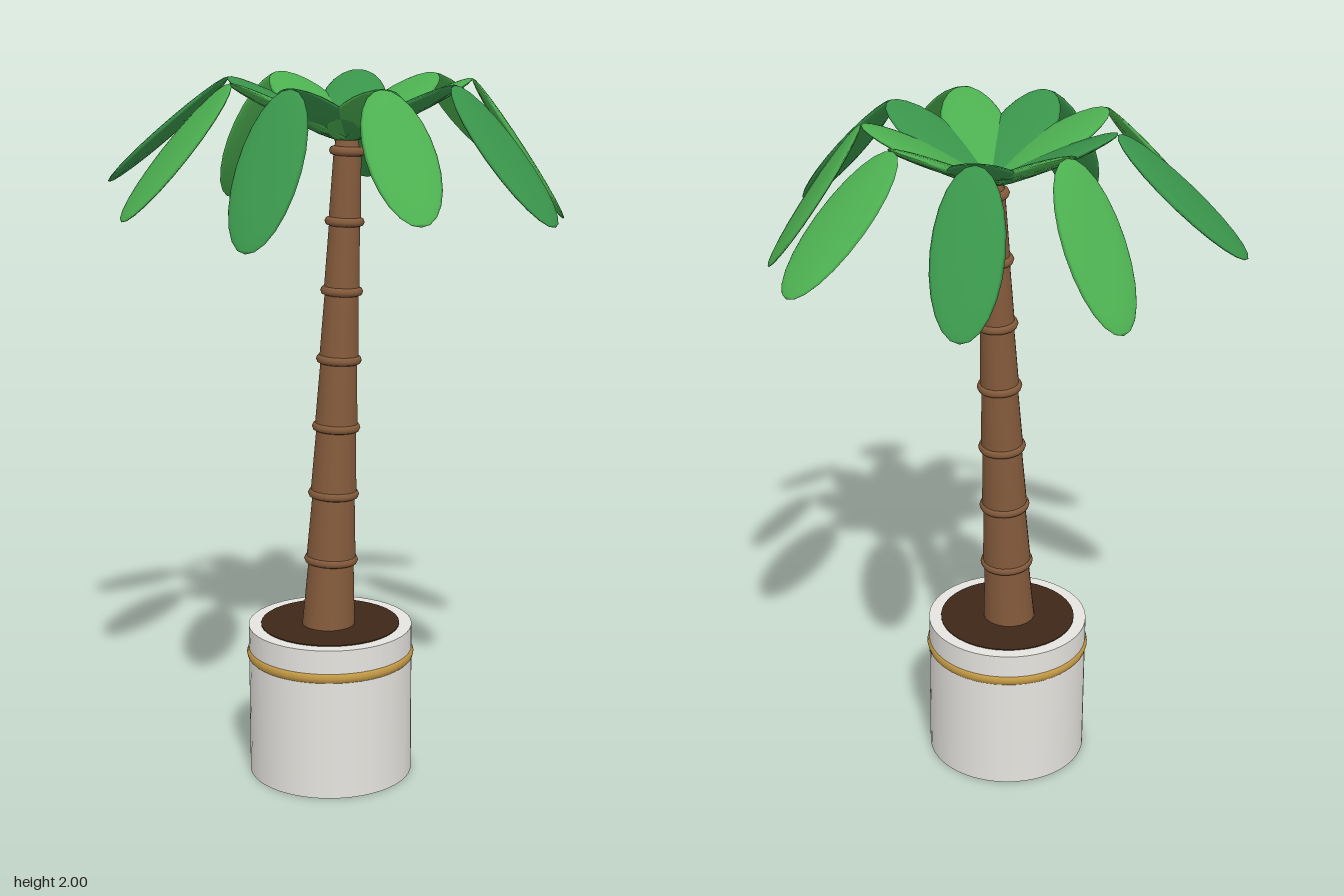
import * as THREE from 'three';

const mat = (name, color) => {
  const m = new THREE.MeshStandardMaterial({ color });
  m.name = name;
  return m;
};

export function createModel() {
  const white = mat('potWhite', 0xe6e4df);
  const gold = mat('bandGold', 0xc49a45);
  const soilBrown = mat('soilBrown', 0x3e2718);
  const bark = mat('barkBrown', 0x835a3b);
  const greens = [mat('leafGreen', 0x4caf50), mat('deepLeafGreen', 0x39944a)];

  const model = new THREE.Group();
  model.name = 'pottedPalm';
  const add = (parent, name, geometry, material, x = 0, y = 0, z = 0) => {
    const mesh = new THREE.Mesh(geometry, material);
    mesh.name = name;
    mesh.position.set(x, y, z);
    parent.add(mesh);
    return mesh;
  };

  // Pot with a gold band and a disc of soil
  const potX = -0.12, z0 = -0.015, potH = 0.445;
  add(model, 'pot', new THREE.CylinderGeometry(0.236, 0.236, potH, 48), white, potX, potH / 2, z0);
  add(model, 'potBand', new THREE.TorusGeometry(0.221, 0.021, 12, 48), gold, potX, 0.362, z0).rotation.x = Math.PI / 2;
  add(model, 'soil', new THREE.CylinderGeometry(0.2, 0.2, 0.006, 40), soilBrown, potX, potH, z0);

  // Leaning trunk: tapered segments, each capped by a ring
  const trunkX = (y) => -0.126 + 0.054 * (y - 0.445) + 0.004 * (y - 0.445) ** 2;
  const lean = -0.06, step = 0.194;
  for (let i = 0; i < 7; i++) {
    const bottom = 0.445 + i * step, top = bottom + step;
    const r = 0.077 - i * 0.0052;
    const middle = (bottom + top) / 2;
    add(model, 'trunkSegment', new THREE.CylinderGeometry(r * 0.84, r, step + 0.012, 20), bark,
      trunkX(middle), middle, z0).rotation.z = lean;
    const ring = add(model, 'trunkRing', new THREE.TorusGeometry(r * 0.84, 0.013, 8, 24), bark, trunkX(top), top, z0);
    ring.rotation.set(Math.PI / 2, -lean, 0, 'ZYX');
    ring.rotation.set(Math.PI / 2, 0, lean, 'ZXY');
  }
  add(model, 'trunkTip', new THREE.CylinderGeometry(0.03, 0.037, 0.03, 20), bark, -0.048, 1.822, z0);

  // Flat oval blade running from its origin along +x
  const sphere = new THREE.SphereGeometry(1, 16, 12);
  sphere.rotateZ(-Math.PI / 2);
  const blade = (parent, name, material, length, tilt, x, y) => {
    const pivot = new THREE.Group();
    pivot.name = name;
    pivot.position.set(x, y, 0);
    pivot.rotation.z = tilt;
    parent.add(pivot);
    add(pivot, name + 'Blade', sphere, material, length / 2).scale.set(length / 2, 0.015, 0.095);
  };

  // Nine fronds: a rising inner blade, then a drooping outer blade
  const reach = 0.345, rise = 0.168;
  for (let i = 0; i < 9; i++) {
    const frond = new THREE.Group();
    frond.name = 'frond';
    frond.position.set(-0.045, 1.83, z0);
    frond.rotation.y = (i * Math.PI * 2) / 9;
    const green = greens[i % 2];
    blade(frond, 'innerLeaf', green, Math.hypot(reach, rise), Math.atan2(rise, reach), 0, 0);
    blade(frond, 'outerLeaf', green, 0.472, -(0.70 + 0.14 * (i % 3)), reach, rise);
    model.add(frond);
  }
  return model;
}
